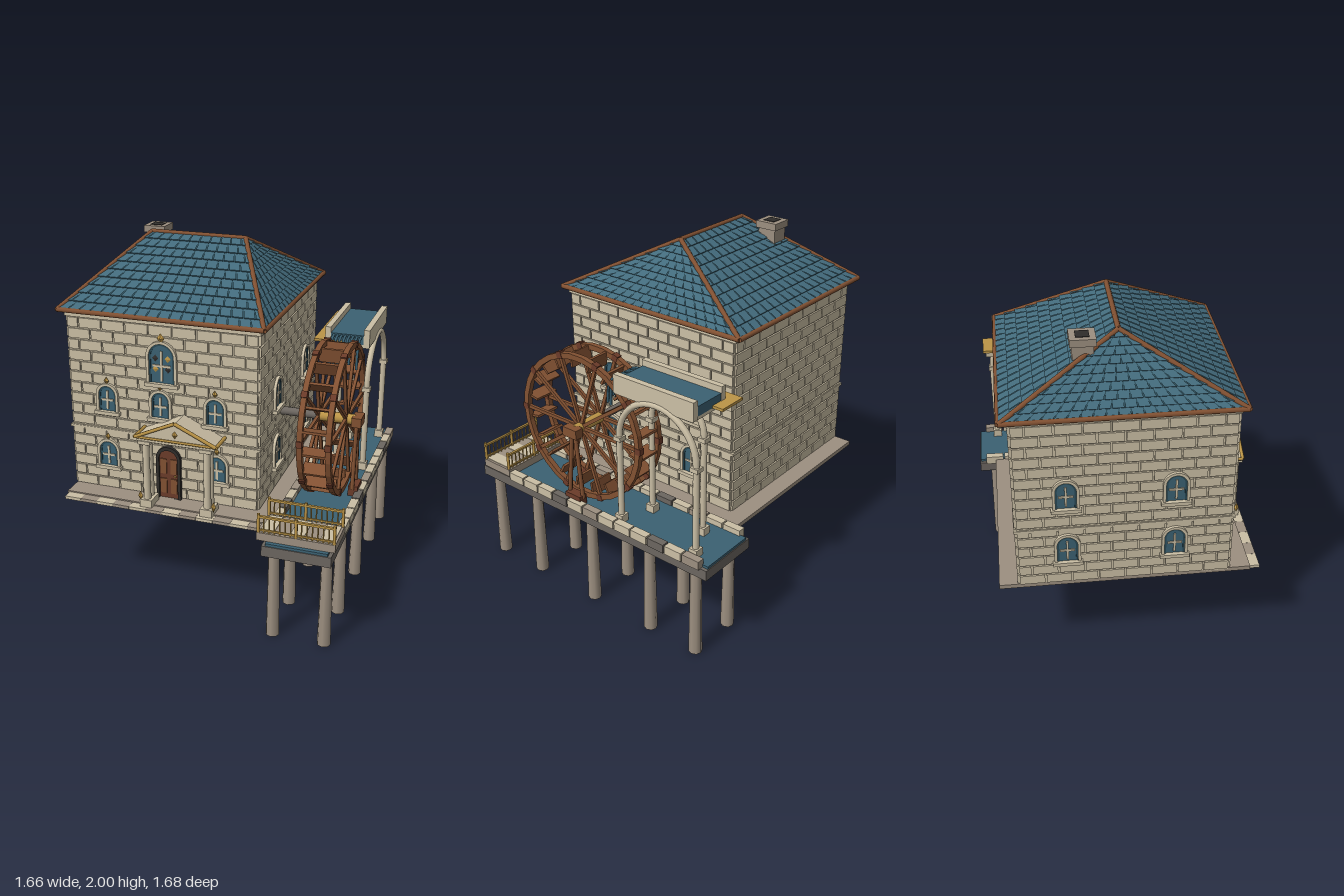
import * as THREE from 'three';
import { mergeGeometries } from 'three/addons/utils/BufferGeometryUtils.js';

const mat = (name, color) => {
  const m = new THREE.MeshStandardMaterial({ color });
  m.name = name;
  return m;
};
const V = (x, y, z) => new THREE.Vector3(x, y, z);

// geometry helpers
const box = (x0, x1, y0, y1, z0, z1) =>
  new THREE.BoxGeometry(x1 - x0, y1 - y0, z1 - z0).translate((x0 + x1) / 2, (y0 + y1) / 2, (z0 + z1) / 2);
const post = (x, z, y0, y1, rt, rb = rt, n = 10) =>
  new THREE.CylinderGeometry(rt, rb, y1 - y0, n).translate(x, (y0 + y1) / 2, z);
const rod = (a, b, r, n = 6) => new THREE.CylinderGeometry(r, r, a.distanceTo(b), n)
  .applyQuaternion(new THREE.Quaternion().setFromUnitVectors(V(0, 1, 0), b.clone().sub(a).normalize()))
  .translate((a.x + b.x) / 2, (a.y + b.y) / 2, (a.z + b.z) / 2);
const diamond = (x, y, z, w, h, d = 0.012) => new THREE.OctahedronGeometry(1).scale(w, h, d).translate(x, y, z);
const extrude = (shape, depth, z = 0) =>
  new THREE.ExtrudeGeometry(shape, { depth, bevelEnabled: false, curveSegments: 10 }).translate(0, 0, z);
const archPath = (w, h, P = THREE.Shape) => {
  const s = new P();
  s.moveTo(-w / 2, 0); s.lineTo(w / 2, 0); s.lineTo(w / 2, h - w / 2);
  s.absarc(0, h - w / 2, w / 2, 0, Math.PI, false);
  s.lineTo(-w / 2, 0);
  return s;
};
const polygon = (r, n, P = THREE.Shape) => {
  const s = new P();
  for (let i = 0; i <= n; i++) {
    const a = (i / n) * Math.PI * 2;
    i ? s.lineTo(r * Math.cos(a), r * Math.sin(a)) : s.moveTo(r, 0);
  }
  return s;
};
const quads = (list) => {
  const p = [];
  for (const [a, b, c, d] of list) for (const v of [a, b, c, a, c, d]) p.push(v.x, v.y, v.z);
  const g = new THREE.BufferGeometry();
  g.setAttribute('position', new THREE.Float32BufferAttribute(p, 3));
  g.computeVertexNormals();
  return g;
};

export function createModel() {
  const cream = mat('creamStone', 0xcbbfa5), tan = mat('tanStone', 0x9c8f80), grey = mat('darkStone', 0x6c6660);
  const teal = mat('tealSlate', 0x436b7c), deep = mat('deepTeal', 0x294955), wood = mat('brownWood', 0x825132);
  const rust = mat('redWood', 0x6b3b29), gold = mat('gold', 0xbc9547), dark = mat('charcoal', 0x2f2d2b);
  const water = mat('waterBlue', 0x3b6172);
  const model = new THREE.Group();
  const put = (name, geos, material, parent = model) => {
    const g = mergeGeometries([geos].flat().map((q) => {
      const n = q.index ? q.toNonIndexed() : q;
      n.deleteAttribute('uv');
      return n;
    }));
    const mesh = new THREE.Mesh(g, material);
    mesh.name = name;
    parent.add(mesh);
    return mesh;
  };

  // house body, base slab and front step
  const X0 = -0.78, X1 = 0.32, Z0 = -0.63, Z1 = 0.52;
  put('houseBody', box(X0, X1, 0.6, 1.65, Z0, Z1), cream);
  put('baseSlab', box(-0.78, 0.44, 0.585, 0.61, -0.74, 0.645), tan);
  const steps = [[], []];
  for (let i = 0; i < 12; i++) steps[i % 2].push(box(-0.77 + i * 0.099, -0.672 + i * 0.099, 0.585, 0.603, 0.64, 0.7));
  put('lightSteps', steps[0], cream);
  put('tanSteps', steps[1], tan);
  put('cornice', [box(X0 - 0.012, X1 + 0.012, 1.62, 1.66, Z0 - 0.012, Z1 + 0.012),
    box(X0 - 0.014, X1 + 0.014, 0.965, 0.98, Z0 - 0.014, Z1 + 0.014)], cream);

  // raised brick courses on all four walls
  const bricks = [], rows = 16, rh = 1.01 / rows, gap = 0.009, out = 0.01;
  for (const [cx, cz, len, ry] of [[-0.23, Z1, 1.1, 0], [-0.23, Z0, 1.1, Math.PI], [X1, -0.055, 1.15, Math.PI / 2], [X0, -0.055, 1.15, -Math.PI / 2]])
    for (let r = 0; r < rows; r++) {
      const w = len / 8;
      for (let k = r % 2 ? -0.5 : 0; k < 8; k++) {
        const a = Math.max(0, k * w) - len / 2, b = Math.min(len, (k + 1) * w) - len / 2;
        const y = 0.61 + r * rh;
        bricks.push(box(a + gap / 2, b - gap / 2, y + gap / 2, y + rh - gap / 2, -0.002, out).rotateY(ry).translate(cx, 0, cz));
      }
    }
  put('wallBricks', bricks, cream);

  // hipped roof with slate tiles
  const y0 = 1.66, yr = 1.983;
  const FL = V(-0.82, y0, 0.557), FR = V(0.357, y0, 0.557), BR = V(0.357, y0, -0.68), BL = V(-0.82, y0, -0.68);
  const RL = V(-0.513, yr, -0.06), RR = V(0.053, yr, -0.06);
  const slopes = [[FL, FR, RR, RL], [FR, BR, RR, RR], [BR, BL, RL, RR], [BL, FL, RL, RL]];
  put('roofBase', quads([...slopes, [FL, BL, BR, FR]]), deep);
  const tiles = [], L = (a, b, t) => a.clone().lerp(b, t), N = 10;
  for (const [a, b, c, d] of slopes) {
    const n = b.clone().sub(a).cross(d.clone().sub(a)).normalize();
    for (let i = 0; i < N; i++) {
      const t0 = i / N, t1 = (i + 1) / N;
      const l0 = L(a, d, t0), r0 = L(b, c, t0), l1 = L(a, d, t1), r1 = L(b, c, t1);
      const count = Math.max(2, Math.round(l0.distanceTo(r0) / 0.065)), g = 0.003 / l0.distanceTo(r0);
      for (let k = i % 2 ? -0.5 : 0; k < count; k++) {
        const u = Math.max(0, k / count) + g, v = Math.min(1, (k + 1) / count) - g;
        const lift = (p, h) => p.addScaledVector(n, h);
        const p = [lift(L(l0, r0, u), 0.01), lift(L(l0, r0, v), 0.01), lift(L(l1, r1, v), 0.003), lift(L(l1, r1, u), 0.003)];
        tiles.push(p, [L(l0, r0, u), L(l0, r0, v), p[1], p[0]]);
      }
    }
  }
  put('roofTiles', quads(tiles), teal);
  put('roofTrim', [[FL, FR], [FR, BR], [BR, BL], [BL, FL], [FL, RL], [BL, RL], [FR, RR], [BR, RR], [RL, RR]]
    .map(([a, b]) => rod(a, b, 0.014, 8)), wood);

  // chimney
  put('chimney', [box(-0.605, -0.5, 1.72, 1.95, -0.3, -0.19), box(-0.617, -0.488, 1.945, 1.985, -0.312, -0.178)], tan);
  put('chimneyFlue', box(-0.588, -0.517, 1.98, 1.988, -0.28, -0.21), dark);

  // arched windows, built facing +z
  const addWindow = (x, y, z, ry, w, h, ornate, finial = true) => {
    const g = new THREE.Group();
    g.name = 'window';
    const frame = archPath(w + 0.032, h + 0.016);
    frame.holes.push(archPath(w, h, THREE.Path));
    put('windowFrame', [extrude(frame, 0.026), box(-w / 2 - 0.025, w / 2 + 0.025, -0.018, 0.003, 0, 0.038)], cream, g);
    put('windowGlass', extrude(archPath(w, h), 0.006, 0.009), water, g);
    const rim = archPath(w, h);
    rim.holes.push(archPath(w - 0.02, h - 0.01, THREE.Path));
    put('windowRim', extrude(rim, 0.006, 0.013), deep, g);
    put('windowBars', [box(-0.006, 0.006, 0.015, h * 0.82, 0.014, 0.021), box(-w * 0.36, w * 0.36, h * 0.42, h * 0.42 + 0.012, 0.014, 0.021)], cream, g);
    if (finial) put('windowFinial', diamond(0, h + 0.032, 0.02, ornate ? 0.022 : 0.015, ornate ? 0.03 : 0.022), gold, g);
    if (ornate) {
      const at = (s) => [-1, 1].map((k) => diamond(k * s * 0.036, h * 0.5 + k * 0.03, 0.016, 0.018, 0.02, 0.005));
      put('goldPanes', at(1), gold, g);
      put('darkPanes', at(-1), dark, g);
    }
    g.position.set(x, y, z);
    g.rotation.y = ry;
    model.add(g);
  };
  for (const x of [-0.553, -0.235, 0.082]) addWindow(x, 1.09, Z1, 0, 0.1, 0.15);
  for (const x of [-0.56, 0.09]) addWindow(x, 0.755, Z1, 0, 0.105, 0.15);
  addWindow(-0.222, 1.295, Z1, 0, 0.145, 0.225, true);
  for (const s of [1, -1]) for (const z of [0.21, -0.365]) for (const y of [0.76, 1.11])
    addWindow(s > 0 ? X1 : X0, y, z, s * Math.PI / 2, 0.11, 0.165, false, false);

  // front door
  const dx = -0.195;
  const doorFrame = archPath(0.145, 0.315);
  doorFrame.holes.push(archPath(0.11, 0.295, THREE.Path));
  put('doorFrame', extrude(doorFrame, 0.03).translate(dx, 0.61, Z1), dark);
  put('door', extrude(archPath(0.112, 0.296), 0.018).translate(dx, 0.61, Z1), rust);
  put('doorPanels', [-0.03, 0.03].flatMap((k) => [0.64, 0.76].map((y) => box(dx + k - 0.018, dx + k + 0.018, y, y + 0.09, Z1 + 0.016, Z1 + 0.024))), wood);
  put('doorKnob', new THREE.SphereGeometry(0.007, 8, 6).translate(dx + 0.04, 0.75, Z1 + 0.026), gold);

  // portico
  const px = -0.1, pts = [-0.28, 0.075], cols = [], lamps = [];
  for (const x of pts) {
    cols.push(box(x - 0.035, x + 0.035, 0.605, 0.65, 0.575, 0.68), box(x - 0.035, x + 0.035, 0.985, 1.005, 0.575, 0.68));
    for (const z of [0.603, 0.65]) cols.push(post(x, z, 0.65, 0.99, 0.019, 0.021));
    lamps.push(diamond(x + (x < 0 ? -0.035 : 0.04), 0.665, 0.665, 0.014, 0.032, 0.014));
  }
  put('porticoColumns', cols, cream);
  put('porticoLamps', lamps, gold);
  const tri = new THREE.Shape([new THREE.Vector2(-0.235, 1.02), new THREE.Vector2(0.235, 1.02), new THREE.Vector2(0, 1.128)]);
  put('pediment', [extrude(tri, 0.14, 0.53).translate(px, 0, 0), box(px - 0.225, px + 0.225, 1.002, 1.022, 0.53, 0.672)], cream);
  const pl = V(px - 0.235, 1.025, 0.675), pr = V(px + 0.235, 1.025, 0.675), pt = V(px, 1.132, 0.675);
  put('pedimentTrim', [rod(pl, pt, 0.01), rod(pr, pt, 0.01), rod(pl, pr, 0.007), ...[pl, pr].map((p) => rod(p, V(p.x, p.y, 0.53), 0.01)),
    diamond(px, 1.065, 0.672, 0.016, 0.022)], gold);

  // canal platform, water and piles
  put('platform', box(0.44, 0.815, 0.525, 0.585, -0.84, 0.84), grey);
  put('canalWater', box(0.46, 0.795, 0.58, 0.6, -0.835, 0.835), water);
  const piles = [];
  for (const x of [0.487, 0.775]) for (const z of [0.755, 0.43, -0.005, -0.43, -0.745])
    piles.push(post(x, z, 0, 0.53, 0.03, 0.038, 8));
  put('piles', piles, tan);
  const kerb = [[], [], []];
  for (const [k, x] of [0.43, 0.785].entries()) for (let i = 0; i < 12; i++)
    kerb[[0, 0, 1, 0, 2, 0][(i + k * 2) % 6]].push(box(x, x + 0.044, 0.582, 0.632, -0.8 + i * 0.117, -0.692 + i * 0.117));
  [cream, tan, grey].forEach((m, i) => put('canalKerb' + (i + 1), kerb[i], m));

  // railed balcony over the front of the canal
  put('balcony', box(0.405, 0.828, 0.6, 0.645, 0.6, 0.812), tan);
  put('balconyFloor', [0, 2, 4].map((i) => box(0.42 + i * 0.08, 0.495 + i * 0.08, 0.64, 0.649, 0.615, 0.8)), cream);
  const rail = [];
  for (const z of [0.61, 0.803]) {
    rail.push(box(0.407, 0.826, 0.73, 0.742, z - 0.007, z + 0.007), box(0.407, 0.826, 0.655, 0.664, z - 0.005, z + 0.005));
    for (let i = 0; i <= 14; i++) rail.push(post(0.414 + i * 0.029, z, 0.645, i % 7 ? 0.735 : 0.752, i % 7 ? 0.004 : 0.009, undefined, 6));
  }
  put('balconyRailing', rail, gold);

  // water wheel
  const wheel = new THREE.Group();
  wheel.name = 'waterWheel';
  wheel.position.set(0.628, 1.048, 0.11);
  const rings = [], spokes = [], paddles = [], bolts = [];
  for (const x of [-0.093, 0.063]) {
    const s = polygon(0.432, 30);
    s.holes.push(polygon(0.4, 30, THREE.Path));
    rings.push(extrude(s, 0.03).rotateY(Math.PI / 2).translate(x, 0, 0));
    for (let i = 0; i < 10; i++) {
      const a = (i / 10) * Math.PI * 2;
      spokes.push(box(x + 0.006, x + 0.024, 0.02, 0.41, -0.01, 0.01).rotateX(a + Math.PI / 2));
      bolts.push(box(x - 0.002, x + 0.032, 0.4, 0.438, -0.018, 0.018).rotateX(a + 0.31));
    }
  }
  for (let i = 0; i < 20; i++)
    paddles.push(box(-0.075, 0.075, 0.345, 0.425, -0.007, 0.007).rotateX((i / 20) * Math.PI * 2 + 0.15));
  put('wheelRings', rings, wood, wheel);
  put('wheelSpokes', spokes, wood, wheel);
  put('wheelPaddles', paddles, wood, wheel);
  put('wheelBrackets', bolts, rust, wheel);
  put('wheelHub', rod(V(-0.08, 0, 0), V(0.13, 0, 0), 0.03, 12), gold, wheel);
  put('axle', rod(V(-0.31, 0, 0), V(0.165, 0, 0), 0.024, 12), grey, wheel);
  model.add(wheel);
  put('wheelStand', [-0.05, 0.05].map((d) => rod(V(0.768, 1.05, 0.11 + d * 0.2), V(0.768, 0.64, 0.11 + d), 0.013))
    .concat(box(0.745, 0.8, 1.02, 1.075, 0.06, 0.16)), wood);
  put('wheelStandFoot', box(0.745, 0.8, 0.6, 0.66, 0.055, 0.165), rust);

  // aqueduct trough, walkway and falling water
  put('trough', [box(0.497, 0.53, 1.37, 1.475, -0.705, -0.185), box(0.722, 0.757, 1.37, 1.475, -0.705, -0.185), box(0.5, 0.755, 1.365, 1.39, -0.7, -0.19)], cream);
  put('troughWater', box(0.528, 0.724, 1.385, 1.44, -0.702, -0.19), water);
  put('walkway', box(0.432, 0.6, 1.383, 1.398, -0.765, -0.182), gold);
  put('walkwayBeams', [box(0.465, 0.505, 1.34, 1.384, -0.75, -0.19)], cream);
  const fall = [];
  for (let i = 0; i < 8; i++) {
    const x = 0.548 + i * 0.0225;
    const path = new THREE.CatmullRomCurve3([V(x, 1.43, -0.2), V(x, 1.42, -0.14), V(x, 1.36, -0.105), V(x, 1.24 + (i % 3) * 0.025, -0.095)]);
    fall.push(new THREE.TubeGeometry(path, 8, 0.008, 5));
  }
  put('fallingWater', fall, water);

  // arcades carrying the aqueduct
  const arcade = (x, zc, r, spring, pr) => {
    const g = [new THREE.TorusGeometry(r, pr, 8, 20, Math.PI).rotateY(Math.PI / 2).translate(x, spring, zc)];
    for (const z of [zc - r, zc + r]) g.push(post(x, z, 0.6, spring, pr), box(x - 0.024, x + 0.024, spring - 0.025, spring, z - 0.024, z + 0.024),
      box(x - 0.026, x + 0.026, 0.595, 0.645, z - 0.026, z + 0.026));
    put('arcade', g, cream);
  };
  arcade(0.57, -0.455, 0.175, 1.185, 0.017);
  arcade(0.75, -0.467, 0.255, 1.125, 0.018);
  return model;
}
